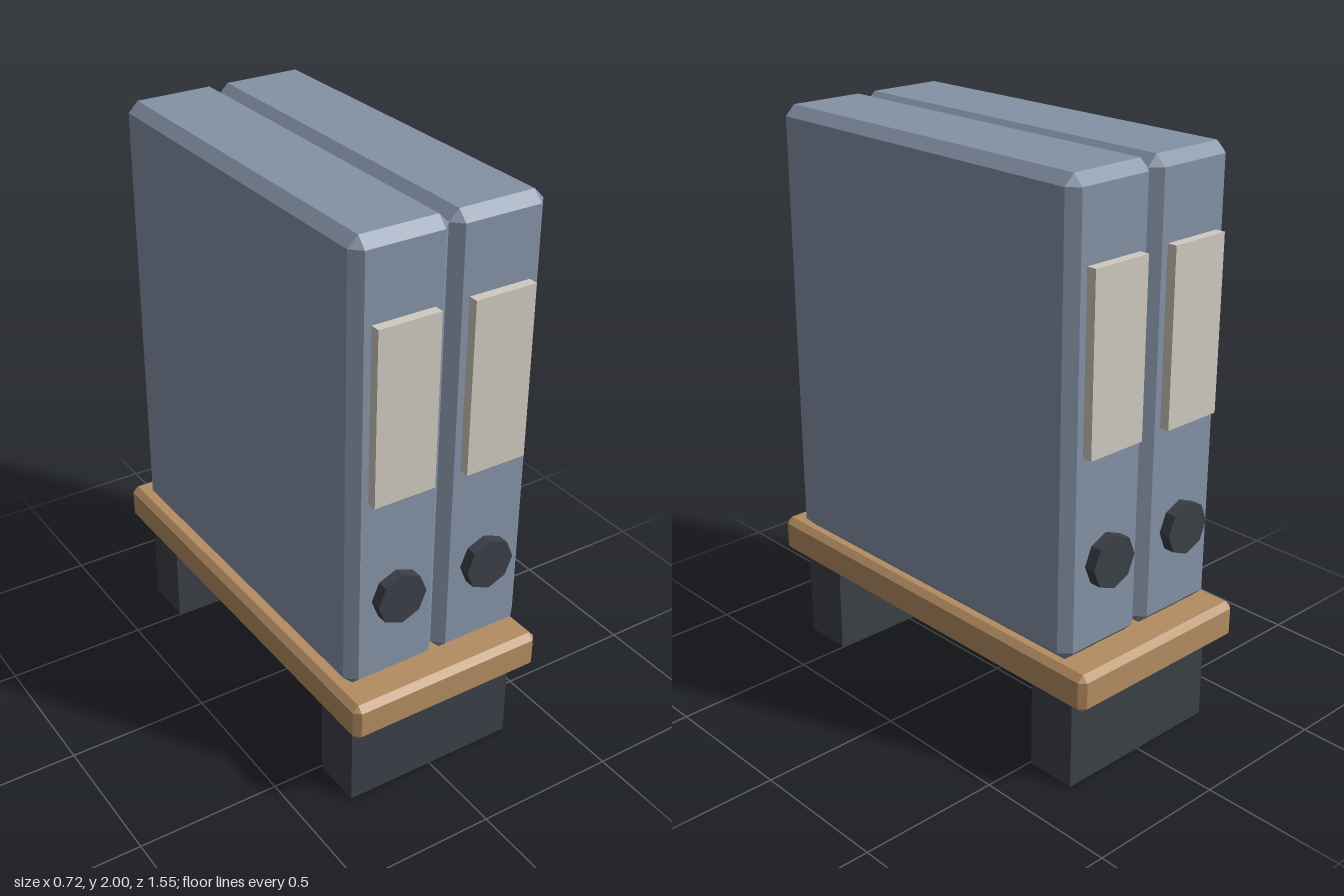
import * as THREE from 'three';
import { ConvexGeometry } from 'three/addons/geometries/ConvexGeometry.js';

const material = (name, color) => {
  const m = new THREE.MeshStandardMaterial({ color });
  m.name = name;
  return m;
};

// Box with every edge bevelled flat by c
function chamferBox(w, h, d, c) {
  const points = [];
  for (const sx of [-1, 1]) for (const sy of [-1, 1]) for (const sz of [-1, 1]) {
    const x = w / 2, y = h / 2, z = d / 2;
    points.push(
      new THREE.Vector3(sx * x, sy * (y - c), sz * (z - c)),
      new THREE.Vector3(sx * (x - c), sy * y, sz * (z - c)),
      new THREE.Vector3(sx * (x - c), sy * (y - c), sz * z));
  }
  return new ConvexGeometry(points);
}

export function createModel() {
  const group = new THREE.Group();
  group.name = 'bindersOnStand';

  const blue = material('binderBlue', 0x8492a6);
  const wood = material('wood', 0xb48d62);
  const cream = material('labelCream', 0xcfcac0);
  const dark = material('darkGrey', 0x3b4047);

  const add = (parent, name, geometry, mat, x, y, z) => {
    const mesh = new THREE.Mesh(geometry, mat);
    mesh.name = name;
    mesh.position.set(x, y, z);
    parent.add(mesh);
    return mesh;
  };

  // Wooden shelf board
  add(group, 'board', chamferBox(0.724, 0.134, 1.546, 0.021), wood, 0, 0.39, 0);

  // Block feet, front and back
  const footGeo = new THREE.BoxGeometry(0.634, 0.323, 0.18);
  for (const s of [1, -1]) add(group, s > 0 ? 'frontFoot' : 'backFoot', footGeo, dark, 0, 0.1615, s * 0.595);

  // Two binders, each with a label and finger hole on both narrow ends
  const bodyGeo = chamferBox(0.34, 1.543, 1.366, 0.035);
  const labelGeo = new THREE.BoxGeometry(0.22, 0.589, 0.036);
  const holeGeo = new THREE.CylinderGeometry(0.09, 0.09, 0.042, 8).toNonIndexed();
  holeGeo.rotateX(Math.PI / 2);
  holeGeo.computeVertexNormals();
  for (const side of [-1, 1]) {
    const binder = new THREE.Group();
    binder.name = side > 0 ? 'leftBinder' : 'rightBinder';
    binder.position.x = 0.01 + side * 0.17;
    group.add(binder);
    add(binder, 'binderBody', bodyGeo, blue, 0, 1.2285, 0);
    for (const end of [1, -1]) {
      add(binder, 'label', labelGeo, cream, 0, 1.44, end * 0.699);
      add(binder, 'fingerHole', holeGeo, dark, 0, 0.777, end * 0.701);
    }
  }
  return group;
}
